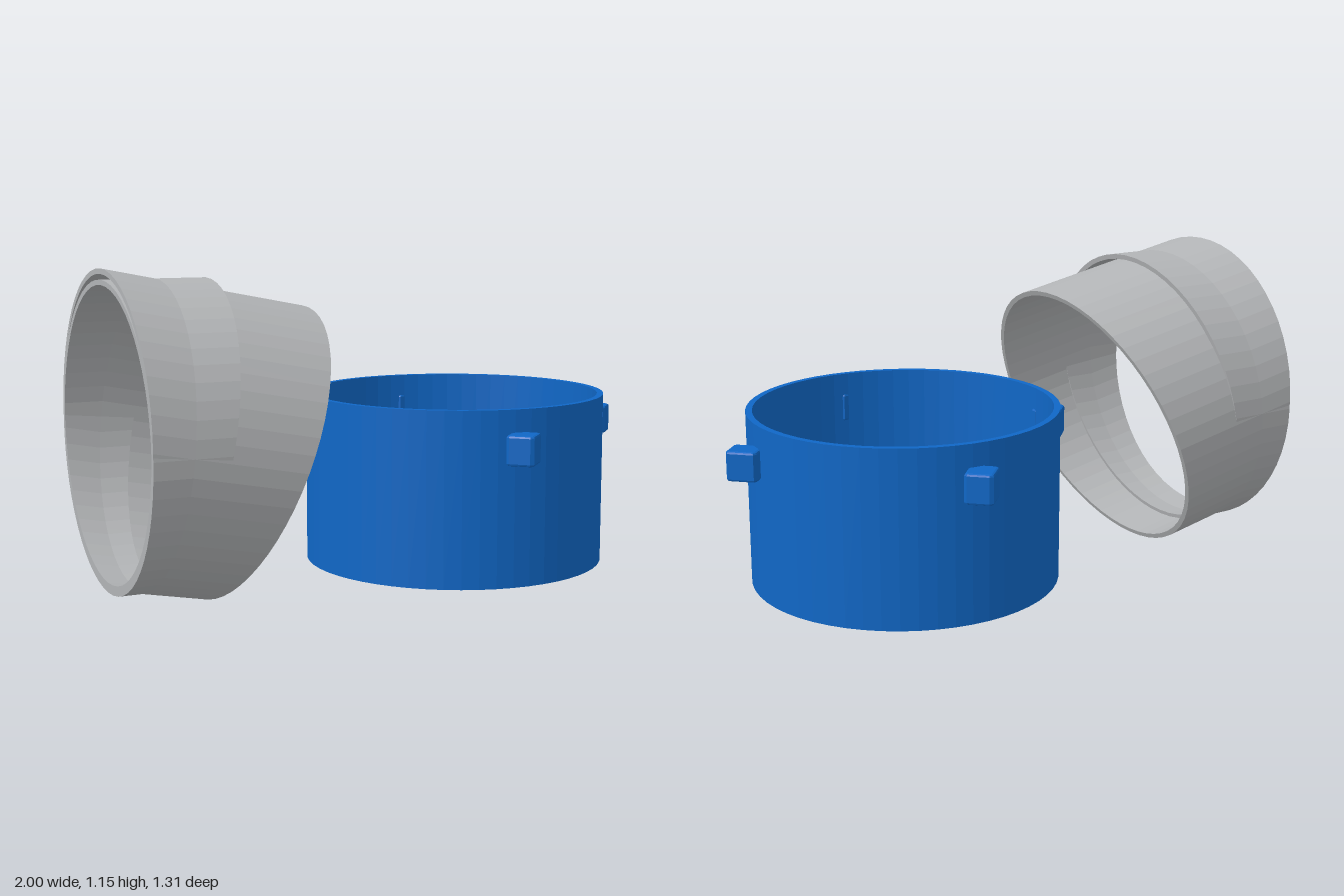
import * as THREE from 'three';

const SIDES = 56;

// Hollow pipe along a direction in the XY plane, cut by a start and an end plane.
// Each plane is { x, y, angle }: a point and the tilt of its normal in XY.
function pipe(x, y, angle, radius, wall, start, end) {
  const d = new THREE.Vector3(Math.cos(angle), Math.sin(angle), 0);
  const n = new THREE.Vector3(-d.y, d.x, 0);
  const point = (a, r, plane) => {
    const p = new THREE.Vector3(x, y, 0).addScaledVector(n, r * Math.cos(a));
    p.z = r * Math.sin(a);
    const normal = new THREE.Vector3(Math.cos(plane.angle), Math.sin(plane.angle), 0);
    const toPlane = new THREE.Vector3(plane.x, plane.y, 0).sub(p);
    return p.addScaledVector(d, toPlane.dot(normal) / d.dot(normal));
  };
  const inner = radius - wall;
  const loop = [[radius, start], [radius, end], [inner, end], [inner, start]];
  const pos = [];
  for (let i = 0; i < SIDES; i++) {
    const a0 = (i / SIDES) * Math.PI * 2;
    const a1 = ((i + 1) / SIDES) * Math.PI * 2;
    for (let j = 0; j < 4; j++) {
      const s = loop[j], e = loop[(j + 1) % 4];
      const A = point(a0, ...s), B = point(a1, ...s), C = point(a1, ...e), D = point(a0, ...e);
      for (const v of [A, B, C, A, C, D]) pos.push(v.x, v.y, v.z);
    }
  }
  const geo = new THREE.BufferGeometry();
  geo.setAttribute('position', new THREE.Float32BufferAttribute(pos, 3));
  geo.computeVertexNormals();
  return geo;
}

function add(parent, name, geometry, material) {
  const mesh = new THREE.Mesh(geometry, material);
  mesh.name = name;
  parent.add(mesh);
  return mesh;
}

export function createModel() {
  const model = new THREE.Group();
  model.name = 'pipeElbowAndCollar';
  const grey = new THREE.MeshStandardMaterial({ color: 0xb2b4b6 });
  grey.name = 'grey';
  const blue = new THREE.MeshStandardMaterial({ color: 0x1067c6 });
  blue.name = 'blue';

  // Elbow: a level pipe and a tilted pipe running through each other
  const elbow = new THREE.Group();
  elbow.name = 'elbow';
  model.add(elbow);
  const step = Math.PI / 16;
  const back = { x: -1, y: 0.585, angle: 0 };
  add(elbow, 'levelPipe',
    pipe(-1, 0.585, 0, 0.535, 0.018, back, { x: -0.63, y: 1.12, angle: -step }), grey);
  add(elbow, 'tiltedPipe',
    pipe(-1, 0.612, -step, 0.535, 0.018, back, { x: -0.27, y: 1.012, angle: -2 * step }), grey);

  // Collar: upright ring
  const collar = new THREE.Group();
  collar.name = 'collar';
  collar.position.x = 0.345;
  model.add(collar);
  const up = Math.PI / 2;
  add(collar, 'collarRing', pipe(0, 0, up, 0.553, 0.023,
    { x: 0, y: 0.05, angle: up }, { x: 0, y: 0.675, angle: up }), blue);

  // Four bevelled lugs whose inner corners just pierce the ring
  const bevel = 0.008, height = 0.105;
  const outline = [[-0.065, -0.652], [-0.05, -0.655], [0.015, -0.59], [0.012, -0.575],
    [-0.04, -0.523], [-0.058, -0.525], [-0.12, -0.588], [-0.118, -0.6]];
  const lug = new THREE.ExtrudeGeometry(
    new THREE.Shape(outline.map(([x, y]) => new THREE.Vector2(x, y))),
    { depth: height - 2 * bevel, bevelSize: bevel, bevelOffset: -bevel,
      bevelThickness: bevel, bevelSegments: 2 });
  lug.rotateX(-Math.PI / 2).translate(0, 0.49 + bevel, 0);
  for (let i = 0; i < 4; i++) {
    add(collar, 'lug' + (i + 1), lug, blue).rotation.y = (i * Math.PI) / 2;
  }
  return model;
}
